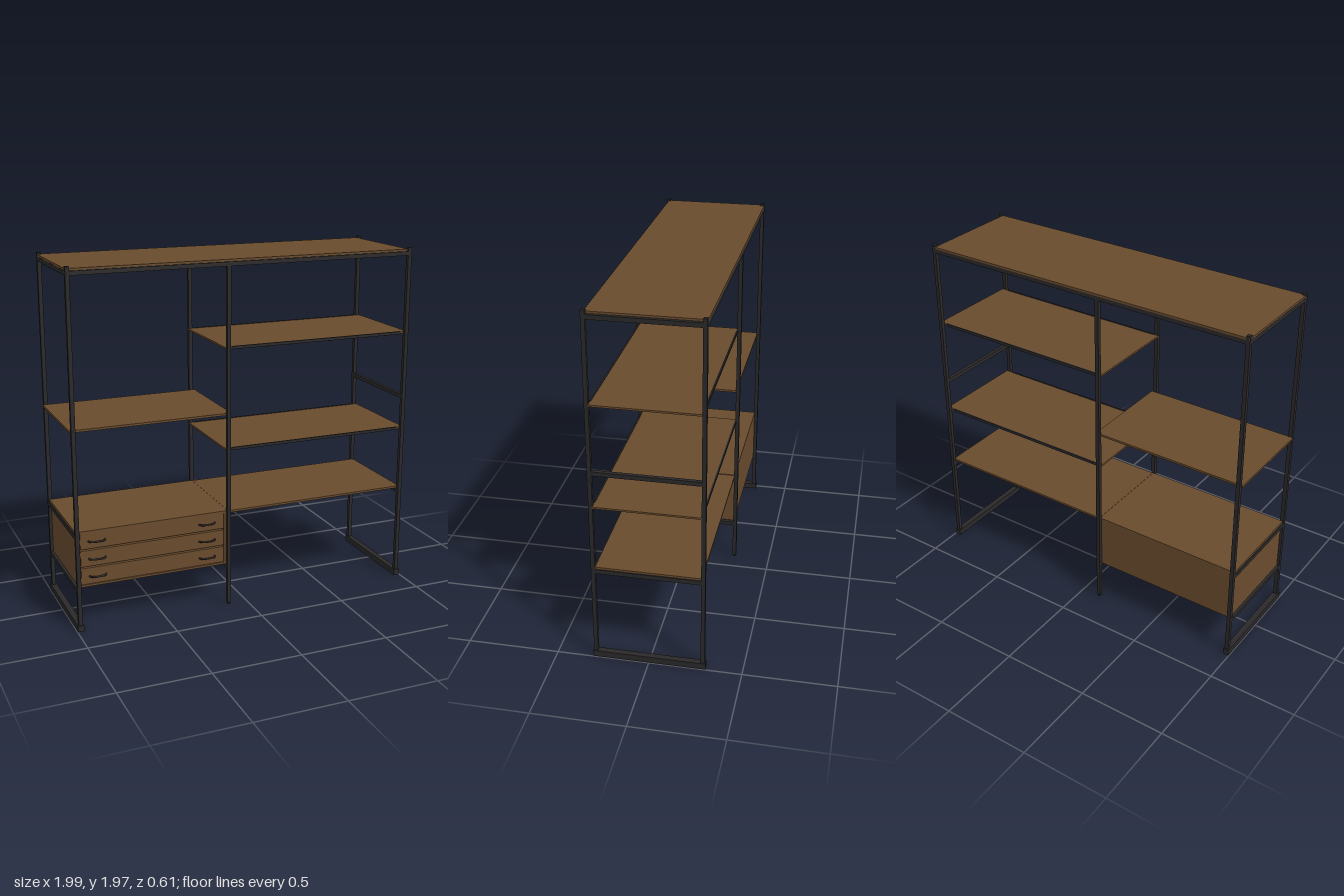
import * as THREE from 'three';

const wood = new THREE.MeshStandardMaterial({ color: 0x694b2d });
wood.name = 'brown wood';
const metal = new THREE.MeshStandardMaterial({ color: 0x2a2829 });
metal.name = 'dark metal';

export function createModel() {
  const root = new THREE.Group();
  root.name = 'shelvingUnit';

  // Box given by its limits on each axis
  function slab(name, mat, [x0, x1], [y0, y1], [z0, z1], parent = root) {
    const mesh = new THREE.Mesh(new THREE.BoxGeometry(x1 - x0, y1 - y0, z1 - z0), mat);
    mesh.position.set((x0 + x1) / 2, (y0 + y1) / 2, (z0 + z1) / 2);
    mesh.name = name;
    parent.add(mesh);
    return mesh;
  }
  const around = (c, half) => [c - half, c + half];
  const endX = 0.98, midX = -0.113, postZ = 0.289;
  const depth = [-0.28, 0.28];

  // Corner posts, middle posts with tapered feet
  for (const z of [-postZ, postZ]) {
    for (const x of [-endX, endX]) {
      slab('cornerPost', metal, around(x, 0.011), [0.03, 1.97], around(z, 0.011));
    }
    slab('middlePost', metal, around(midX, 0.011), [0.015, 1.93], around(z, 0.011));
    const tip = new THREE.Mesh(new THREE.CylinderGeometry(0.0155, 0.007, 0.015, 4), metal);
    tip.rotation.y = Math.PI / 4;
    tip.position.set(midX, 0.0075, z);
    tip.name = 'middlePostFoot';
    root.add(tip);
    slab('topLongRail', metal, [-endX, endX], [1.925, 1.948], around(z, 0.011));
  }

  // Floor runners and rails across the depth
  for (const x of [-endX, endX]) {
    slab('floorRunner', metal, around(x, 0.017), [0, 0.035], [-0.305, 0.305]);
  }
  for (const x of [-endX, midX, endX]) {
    slab('topCrossRail', metal, around(x, 0.011), [1.925, 1.949], depth);
    slab('deskCrossRail', metal, around(x, 0.011), [0.525, 0.549], depth);
  }
  slab('sideBar', metal, around(endX, 0.011), [1.1, 1.123], depth);
  slab('topBoard', wood, [-0.99, 0.972], [1.948, 1.96], [-0.3, 0.29]);

  // Desk level boards and the plain left shelf
  slab('deskBoard', wood, [-0.111, 0.985], [0.549, 0.561], depth);
  slab('cabinetTop', wood, [-0.985, -0.114], [0.549, 0.563], depth);
  slab('leftShelf', wood, [-0.997, -0.092], [1.112, 1.124], depth);

  // Right shelves with edge rails and slats below
  for (const y of [1.48, 0.915]) {
    const shelf = new THREE.Group();
    shelf.name = 'slattedShelf';
    root.add(shelf);
    slab('shelfBoard', wood, [-0.127, 0.995], [y, y + 0.01], depth, shelf);
    for (const s of [-1, 1]) {
      slab('shelfEdgeRail', metal, [-0.09, 0.95], [y - 0.003, y + 0.013], around(s * 0.279, 0.004), shelf);
    }
    for (let i = 0; i < 8; i++) {
      slab('slat', metal, around(0.01 + i * 0.122, 0.011), [y - 0.006, y], [-0.275, 0.275], shelf);
    }
  }

  // Drawer cabinet
  const cabinet = new THREE.Group();
  cabinet.name = 'drawerCabinet';
  root.add(cabinet);
  const cabinetX = [-0.975, -0.125];
  slab('cabinetBottom', wood, cabinetX, [0.245, 0.257], depth, cabinet);
  slab('cabinetBack', wood, cabinetX, [0.245, 0.549], [-0.28, -0.268], cabinet);
  for (const x of [-0.969, -0.131]) {
    slab('cabinetSide', wood, around(x, 0.006), [0.245, 0.549], depth, cabinet);
  }
  for (const x of [-endX, midX]) {
    slab('cabinetCrossRail', metal, around(x, 0.011), [0.223, 0.245], depth, cabinet);
  }
  slab('cabinetCentreRail', metal, [-endX, midX], [0.225, 0.245], around(0, 0.03), cabinet);

  // Drawers with bowed handles
  for (let i = 0; i < 3; i++) {
    const y = 0.26 + i * 0.1;
    slab('drawer', wood, [-0.961, -0.139], [y, y + 0.091], [-0.26, 0.278], cabinet);
    for (const x of [-0.87, -0.238]) {
      const path = new THREE.CatmullRomCurve3([
        [-0.046, 0.277], [-0.04, 0.291], [-0.022, 0.3], [0.022, 0.3], [0.04, 0.291], [0.046, 0.277],
      ].map(([dx, z]) => new THREE.Vector3(x + dx, y + 0.043, z)));
      const handle = new THREE.Mesh(new THREE.TubeGeometry(path, 20, 0.005, 8), metal);
      handle.name = 'drawerHandle';
      cabinet.add(handle);
    }
  }
  return root;
}
